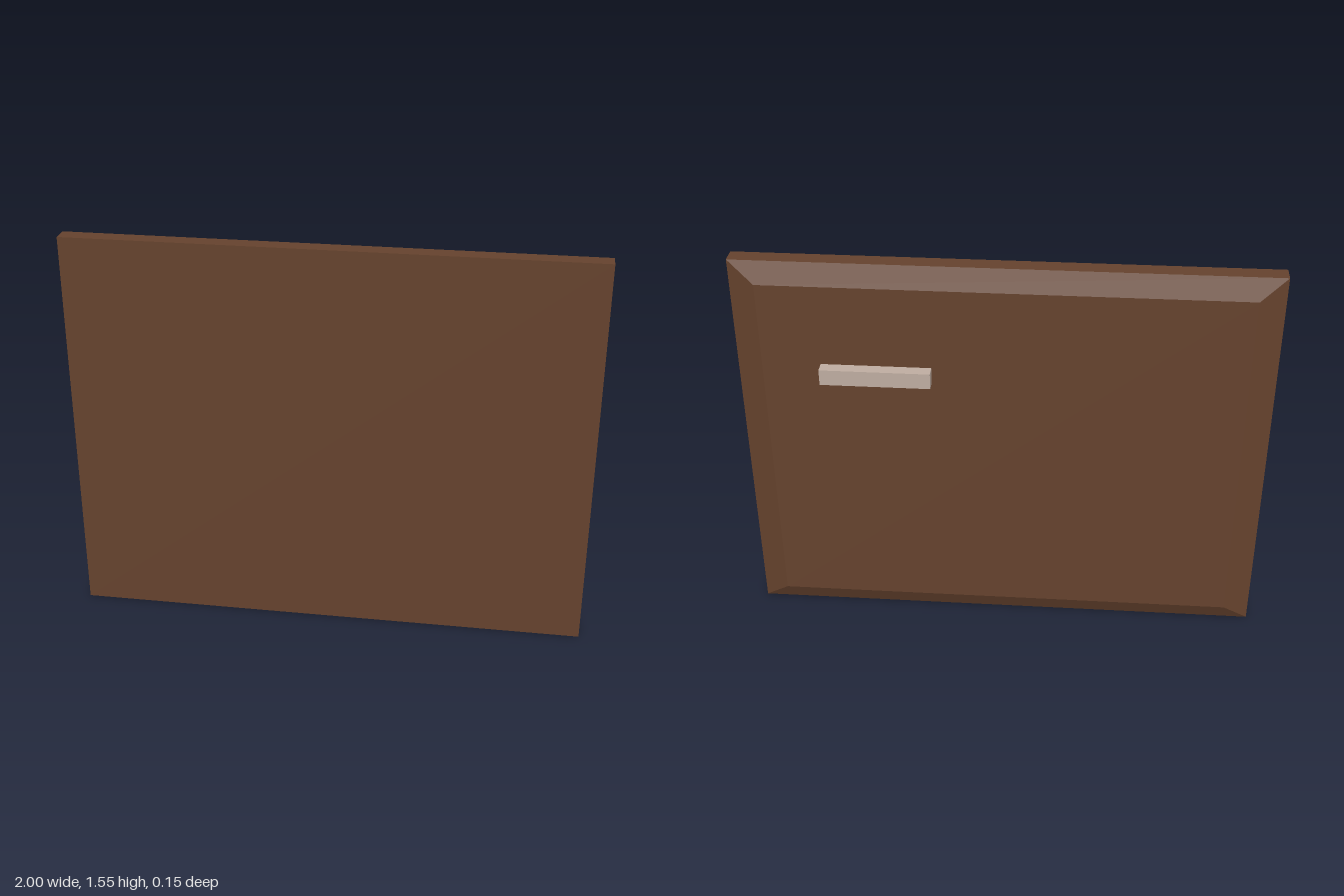
import * as THREE from 'three';

const wood = new THREE.MeshStandardMaterial({ color: 0x65422d });
wood.name = 'brown wood';
const pale = new THREE.MeshStandardMaterial({ color: 0xbeaca0 });
pale.name = 'pale beige';

const WIDTH = 2, HEIGHT = 1.55;
const FRONT = 0.077, EDGE = 0.01, BACK = -0.03;   // z of front face, bevel start, back face
const INSET_X = 0.1, INSET_Y = 0.078;             // bevel insets on the back

// Board with a bevelled back: a box in two depth slices, the rear face drawn inward
function bevelledBoard() {
  const box = new THREE.BoxGeometry(WIDTH, HEIGHT, 2, 1, 1, 2);
  const p = box.attributes.position;
  for (let i = 0; i < p.count; i++) {
    const slice = Math.round(p.getZ(i));
    if (slice < 0) {
      p.setX(i, p.getX(i) - Math.sign(p.getX(i)) * INSET_X);
      p.setY(i, p.getY(i) - Math.sign(p.getY(i)) * INSET_Y);
    }
    p.setZ(i, slice > 0 ? FRONT : slice < 0 ? BACK : EDGE);
  }
  const flat = box.toNonIndexed();
  flat.computeVertexNormals();
  return flat;
}

export function createModel() {
  const group = new THREE.Group();
  group.name = 'wallPanel';

  const board = new THREE.Mesh(bevelledBoard(), wood);
  board.name = 'board';
  board.position.y = HEIGHT / 2;
  group.add(board);

  // Small bar fixed to the back
  const bar = new THREE.Mesh(new THREE.BoxGeometry(0.412, 0.062, 0.047), pale);
  bar.name = 'backBar';
  bar.position.set(0.473, 1.124, BACK - 0.0235);
  group.add(bar);

  return group;
}
